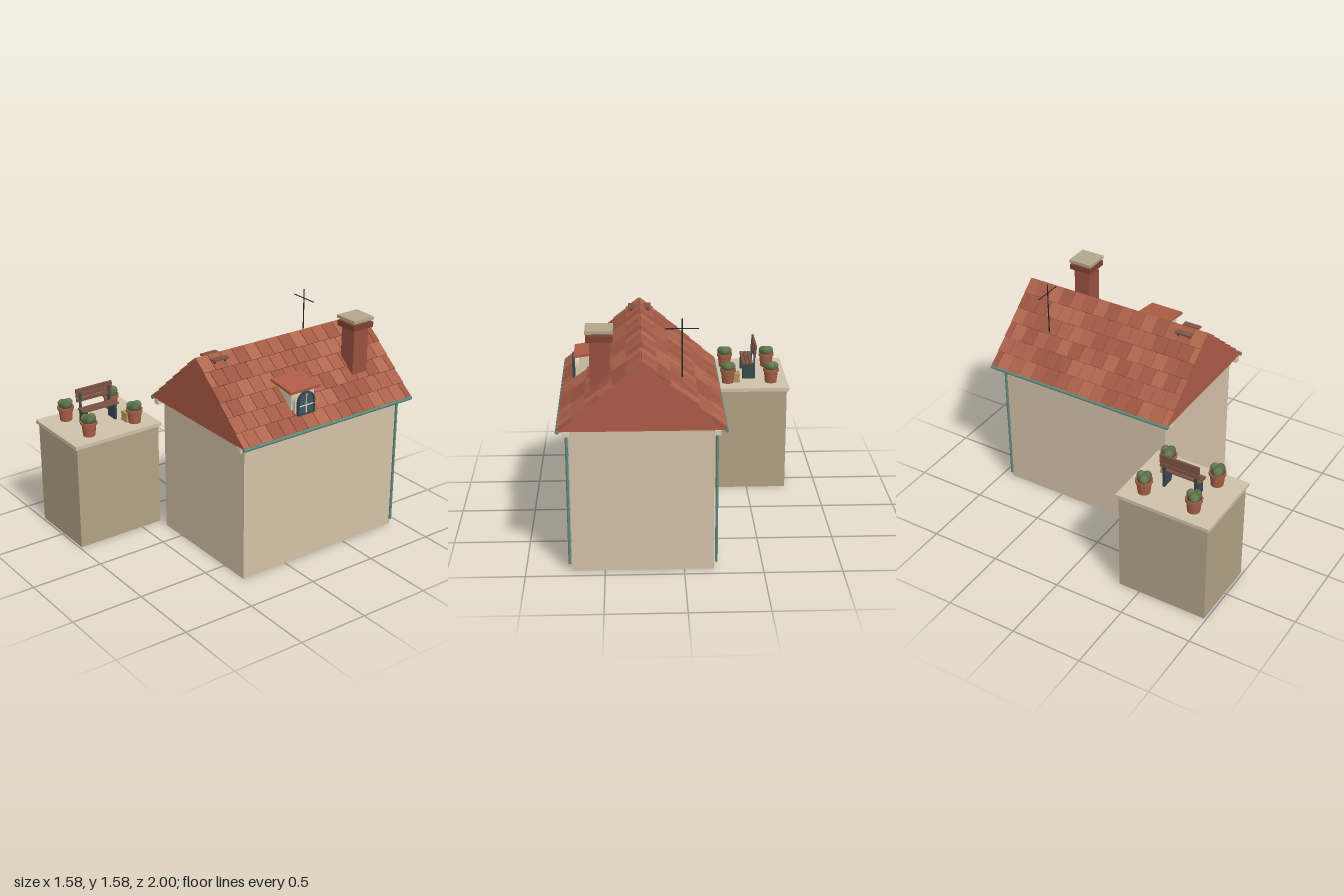
import * as THREE from 'three';

const mat = (color, extra = {}) => new THREE.MeshStandardMaterial({ color, ...extra });
const M = {
  wall: mat(0xd2c1a6), block: mat(0xb0a285), slab: mat(0xcfc2ab), gable: mat(0xad5c46),
  brick: mat(0x995140), collar: mat(0x7d4033), teal: mat(0x5f8a7e), dark: mat(0x20262a),
  glass: mat(0x3d5660), iron: mat(0x34474e), wood: mat(0x7a5242), cream: mat(0xd8ccb2),
  pot: mat(0xa55f45), leaf: mat(0x64794f), leafDark: mat(0x566b45), crate: mat(0xb4965f),
  soil: mat(0x4a3728), capStone: mat(0xb3a68a), plank: mat(0x7d5444),
};
const tileTints = [0xa9604a, 0x9c5541, 0xb0664e, 0xa35a45].map((c) => mat(c));

function add(parent, name, geo, material, x = 0, y = 0, z = 0) {
  const m = new THREE.Mesh(geo, material);
  m.name = name;
  m.position.set(x, y, z);
  parent.add(m);
  return m;
}
// Box given by its limits on each axis
const box = (p, name, material, x0, x1, y0, y1, z0, z1) =>
  add(p, name, new THREE.BoxGeometry(x1 - x0, y1 - y0, z1 - z0), material,
    (x0 + x1) / 2, (y0 + y1) / 2, (z0 + z1) / 2);

function group(parent, name, x = 0, y = 0, z = 0) {
  const g = new THREE.Group();
  g.name = name;
  g.position.set(x, y, z);
  parent.add(g);
  return g;
}

const CX = 0.26, APEX = 1.405, EAVE = 0.965, HALF = 0.51, ZF = 0.4, ZB = -1.0;
const PITCH = Math.atan2(APEX - EAVE, HALF);

function buildRoof(root) {
  const roof = group(root, 'roof');
  const tri = new THREE.Shape();
  tri.moveTo(CX - HALF, EAVE);
  tri.lineTo(CX + HALF, EAVE);
  tri.lineTo(CX, APEX);
  tri.closePath();
  add(roof, 'gableRoofBody', new THREE.ExtrudeGeometry(tri, { depth: ZF - ZB - 0.01, bevelEnabled: false }),
    M.gable, 0, 0, ZB + 0.005);

  // Overlapping tile courses, every second one shifted by half a tile
  const rows = 6, cols = 15, pitchLen = 0.1115, w = (ZF - ZB) / cols;
  for (const s of [-1, 1]) for (let r = 0; r < rows; r++) {
    const shift = r % 2 ? w / 2 : 0;
    for (let c = 0; c <= cols; c++) {
      const z0 = Math.max(ZB, ZB + c * w - shift), z1 = Math.min(ZF, ZB + (c + 1) * w - shift);
      if (z1 - z0 < 0.01) continue;
      const d = (r + 0.5) * pitchLen, lift = 0.006;
      const t = add(roof, 'roofTile', new THREE.BoxGeometry(pitchLen + 0.003, 0.012, z1 - z0 - 0.005),
        tileTints[(c * 7 + r * 5 + (c * r) % 3) % 4],
        CX + s * (d * Math.cos(PITCH) + lift * Math.sin(PITCH)),
        APEX - d * Math.sin(PITCH) + lift * Math.cos(PITCH), (z0 + z1) / 2);
      t.rotation.z = -s * (PITCH - 0.06);
    }
  }

  // Eaves, gutters and rear downpipes
  for (const s of [-1, 1]) {
    const a = CX + s * 0.44, b = CX + s * 0.48;
    box(roof, 'eavesBoard', M.cream, Math.min(a, b), Math.max(a, b), 0.932, 0.966, ZB, ZF);
    const g = add(roof, 'gutter', new THREE.CylinderGeometry(0.013, 0.013, ZF - ZB, 12), M.teal,
      CX + s * 0.513, 0.965, (ZF + ZB) / 2);
    g.rotation.x = Math.PI / 2;
    add(roof, 'downpipe', new THREE.CylinderGeometry(0.009, 0.009, 0.895, 10), M.teal,
      CX + s * 0.463, 0.4925, -0.92);
    // Stepping planks by the ridge
    box(roof, 'ridgePlank', M.plank, CX + s * 0.055 - 0.021, CX + s * 0.055 + 0.021, 1.386, 1.398, 0.19, 0.31);
    for (const z of [0.21, 0.29])
      box(roof, 'plankBracket', M.dark, CX + s * 0.055 - 0.006, CX + s * 0.055 + 0.006, 1.35, 1.387, z - 0.006, z + 0.006);
  }
}

function buildChimney(root) {
  const g = group(root, 'chimney', 0.515, 0, -0.705);
  const sq = (name, m, h, y0, y1) => box(g, name, m, -h, h, y0, y1, -h, h);
  sq('chimneyShaft', M.brick, 0.061, 1.1, 1.465);
  sq('chimneyCollar', M.collar, 0.083, 1.463, 1.5);
  sq('chimneyFlue', M.iron, 0.046, 1.5, 1.517);
  sq('chimneyCap', M.capStone, 0.086, 1.515, 1.536);
}

function archShape(w, y0, top) {
  const s = new THREE.Shape();
  s.moveTo(-w, y0);
  s.lineTo(w, y0);
  s.lineTo(w, top - w);
  s.absarc(0, top - w, w, 0, Math.PI);
  s.closePath();
  return s;
}

function buildDormer(root) {
  const g = group(root, 'dormer', 0, 0, -0.153);
  box(g, 'dormerBody', M.cream, 0.45, 0.66, 1.0, 1.215, -0.092, 0.092);
  const top = box(g, 'dormerRoof', M.gable, 0.482, 0.692, 1.212, 1.23, -0.123, 0.123);
  top.rotation.z = -0.14;
  // Arched window facing +x, built from stacked layers
  const layer = (name, shape, m, x, depth) => {
    const e = add(g, name, new THREE.ExtrudeGeometry(shape, { depth, bevelEnabled: false, curveSegments: 16 }), m, x, 0, 0);
    e.rotation.y = Math.PI / 2;
  };
  layer('windowSurround', archShape(0.082, 1.06, 1.207), M.cream, 0.655, 0.03);
  const frame = archShape(0.068, 1.042, 1.199);
  frame.holes.push(archShape(0.058, 1.052, 1.189));
  layer('windowFrame', frame, M.iron, 0.66, 0.045);
  layer('windowGlass', archShape(0.06, 1.045, 1.19), M.glass, 0.66, 0.036);
  box(g, 'windowBar', M.cream, 0.695, 0.702, 1.05, 1.19, -0.003, 0.003);
  box(g, 'windowBar', M.cream, 0.695, 0.702, 1.102, 1.108, -0.058, 0.058);
}

function buildAntenna(root) {
  const g = group(root, 'antenna', 0.005, 0, -0.685);
  add(g, 'antennaMast', new THREE.CylinderGeometry(0.004, 0.004, 0.42, 8), M.dark, 0, 1.368, 0);
  const bar = add(g, 'antennaBar', new THREE.CylinderGeometry(0.0035, 0.0035, 0.205, 8), M.dark, 0, 1.515, 0);
  bar.rotation.z = Math.PI / 2;
}

function buildBench(root) {
  const g = group(root, 'bench', -0.52, 0.76, 0.665);
  for (const z of [-0.113, 0.113]) {
    box(g, 'benchSide', M.iron, -0.04, 0.045, 0, 0.11, z - 0.008, z + 0.008);
    box(g, 'benchBackPost', M.iron, -0.045, -0.034, 0, 0.225, z - 0.008, z + 0.008);
  }
  for (let i = 0; i < 3; i++) {
    const x = -0.018 + i * 0.027;
    box(g, 'seatSlat', M.wood, x - 0.011, x + 0.011, 0.11, 0.122, -0.14, 0.14);
    const y = 0.16 + i * 0.03;
    box(g, 'backSlat', M.wood, -0.05 - i * 0.002, -0.036 - i * 0.002, y, y + 0.023 + i * 0.004, -0.14, 0.14);
  }
}

function buildPlant(root, x, z) {
  const g = group(root, 'pottedPlant', x, 0.76, z);
  const profile = [[0, 0], [0.041, 0], [0.05, 0.083], [0.057, 0.083], [0.057, 0.1], [0.048, 0.1], [0.046, 0.088], [0, 0.088]];
  add(g, 'pot', new THREE.LatheGeometry(profile.map(([a, b]) => new THREE.Vector2(a, b)), 20),
    mat(0xa55f45, { flatShading: true }));
  add(g, 'soil', new THREE.CylinderGeometry(0.046, 0.046, 0.004, 20), M.soil, 0, 0.09, 0);
  const blobs = [[0, 0.108, 0, 0.042], [-0.023, 0.115, 0.012, 0.031], [0.024, 0.118, 0.008, 0.03], [0.002, 0.124, -0.022, 0.03]];
  blobs.forEach(([a, b, c, r], i) =>
    add(g, 'foliage', new THREE.SphereGeometry(r, 14, 10), i % 2 ? M.leaf : M.leafDark, a, b, c));
}

function buildCrate(root) {
  const g = group(root, 'crate', -0.417, 0.76, 0.492);
  box(g, 'crateCore', M.crate, -0.031, 0.031, 0, 0.063, -0.031, 0.031);
  for (const s of [-1, 1]) for (const y of [0.008, 0.057]) {
    box(g, 'crateSlat', M.crate, -0.034, 0.034, y - 0.008, y + 0.008, s * 0.031 - 0.003, s * 0.031 + 0.003);
    box(g, 'crateSlat', M.crate, s * 0.031 - 0.003, s * 0.031 + 0.003, y - 0.008, y + 0.008, -0.034, 0.034);
  }
}

export function createModel() {
  const root = new THREE.Group();
  root.name = 'houseWithTerrace';

  // House
  box(root, 'houseWalls', M.wall, -0.188, 0.708, 0, 0.968, -0.93, 0.345);
  buildRoof(root);
  buildChimney(root);
  buildDormer(root);
  buildAntenna(root);

  // Terrace block and its furniture
  box(root, 'terraceBlock', M.block, -0.775, -0.265, 0, 0.736, 0.347, 0.985);
  box(root, 'terraceSlab', M.slab, -0.79, -0.25, 0.735, 0.76, 0.33, 1.0);
  buildBench(root);
  for (const x of [-0.672, -0.366]) for (const z of [0.472, 0.83]) buildPlant(root, x, z);
  buildCrate(root);
  return root;
}
